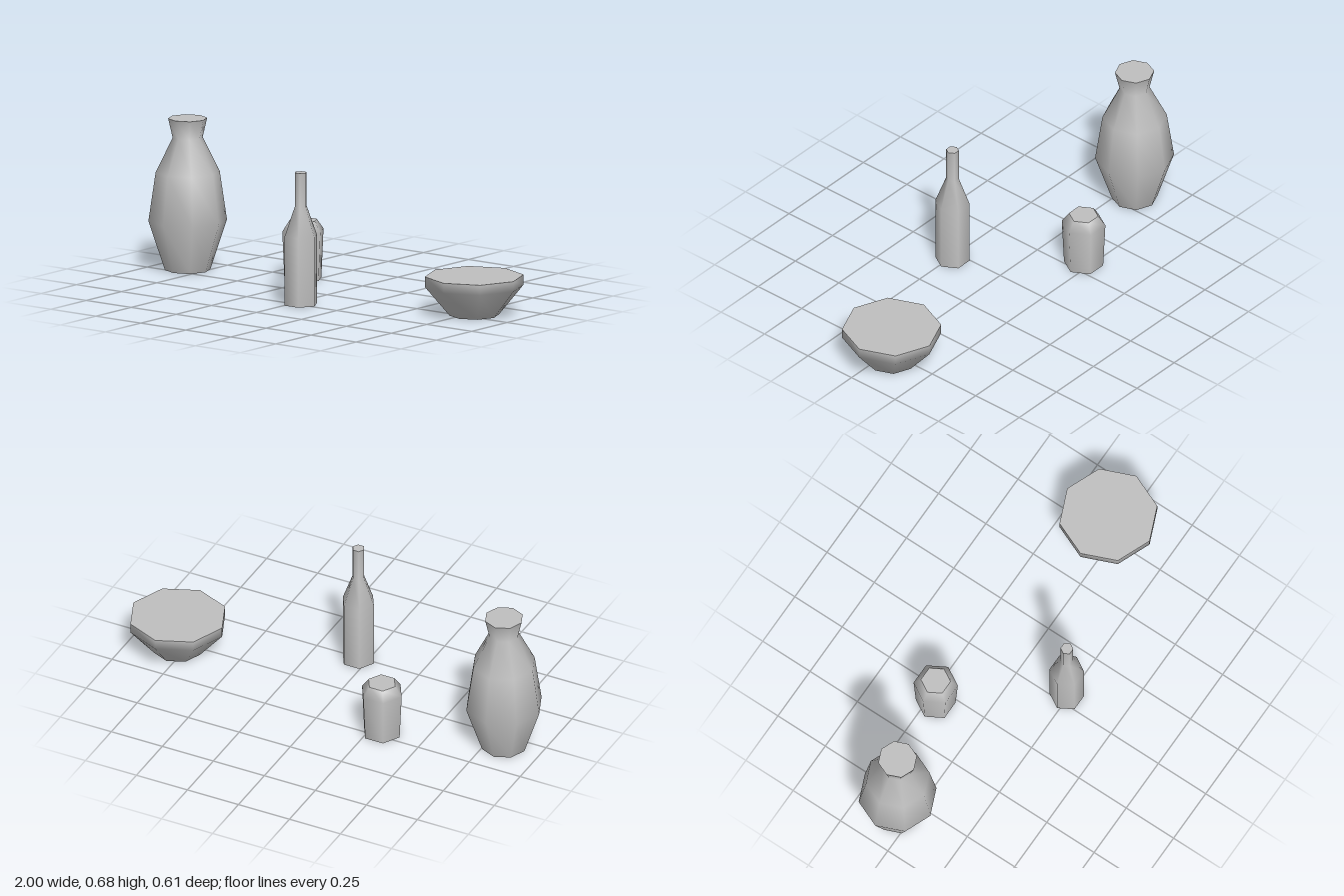
import * as THREE from 'three';

const clay = new THREE.MeshStandardMaterial({ color: 0xbfbfbf });
clay.name = 'grey clay';

// Smooth-sided turned vessel closed by flat caps; profile is [radius, height] from base to rim
function vessel(name, sides, x, z, profile) {
  const group = new THREE.Group();
  group.name = name;
  group.position.set(x, 0, z);
  const add = (part, geometry, y = 0) => {
    const mesh = new THREE.Mesh(geometry, clay);
    mesh.name = name + part;
    mesh.position.y = y;
    group.add(mesh);
  };
  const points = profile.map(([r, y]) => new THREE.Vector2(r, y));
  // start on +x so that the sides line up with the caps
  add('Body', new THREE.LatheGeometry(points, sides, Math.PI / 2));
  const base = points[0], rim = points[points.length - 1];
  add('Base', new THREE.CircleGeometry(base.x, sides).rotateX(Math.PI / 2));
  add('Top', new THREE.CircleGeometry(rim.x, sides).rotateX(-Math.PI / 2), rim.y);
  return group;
}

export function createModel() {
  const model = new THREE.Group();
  model.name = 'potterySet';
  model.add(
    vessel('vase', 8, -0.827, -0.066, [[0.1, 0], [0.173, 0.22], [0.141, 0.437], [0.066, 0.589], [0.086, 0.675]]),
    vessel('jar', 6, -0.306, -0.218, [[0.087, 0], [0.097, 0.217], [0.065, 0.262]]),
    vessel('bottle', 6, 0.041, 0.239, [[0.076, 0], [0.076, 0.307], [0.028, 0.437], [0.028, 0.588]]),
    vessel('bowl', 8, 0.7825, -0.0445, [[0.109, 0], [0.2175, 0.13], [0.2175, 0.175]]),
  );
  return model;
}
